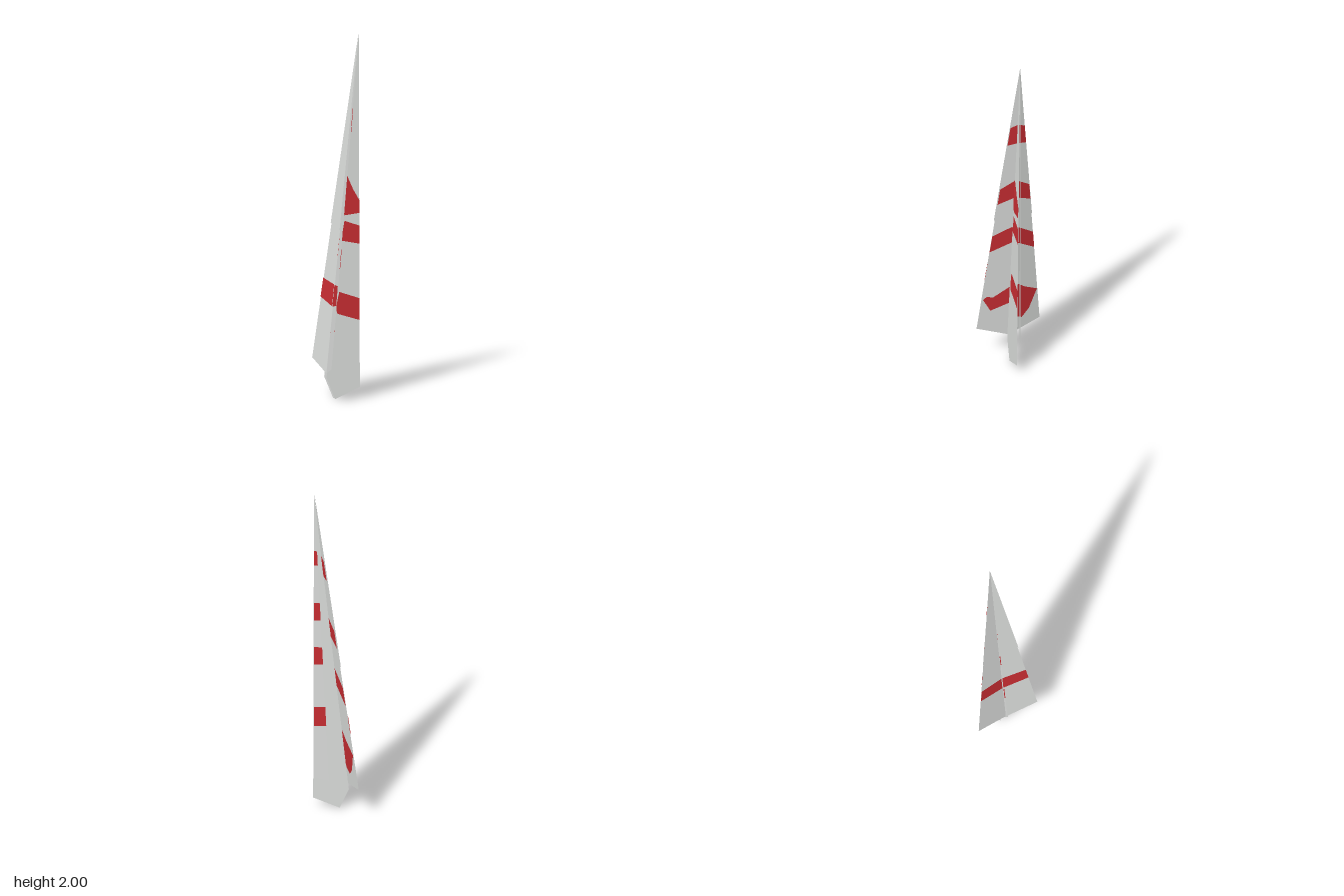
import * as THREE from 'three';

export function createModel() {
  const model = new THREE.Group();
  const paper = new THREE.MeshStandardMaterial({ color: 0xdcdedc, side: THREE.DoubleSide });
  paper.name = 'paper grey';
  const red = new THREE.MeshStandardMaterial({ color: 0xc92d32, side: THREE.DoubleSide });
  red.name = 'stripe red';

  // Flat outline laid onto a folded plane by a mapping rule
  function sheet(name, points, place, material) {
    const shape = new THREE.Shape(points.map(([u, v]) => new THREE.Vector2(u, v)));
    const geometry = new THREE.ShapeGeometry(shape);
    const pos = geometry.attributes.position;
    for (let i = 0; i < pos.count; i++) pos.setXYZ(i, ...place(pos.getX(i), pos.getY(i)));
    geometry.computeVertexNormals();
    const mesh = new THREE.Mesh(geometry, material);
    mesh.name = name;
    model.add(mesh);
  }

  // Wing plane: outlines are given as (distance from centre, height)
  const wingPlane = (side, lift = 0) => (z, y) =>
    [0.104 - 0.0989 * (2 - y) - 0.172 * z + lift, y, side * z];
  // Keel plane: outlines are given as (x, height)
  const keelPlane = (spread, lean, lift = 0) => (x, y) =>
    [x, y, spread * (2 - y) + lean * (0.104 - x) + lift];

  // A stripe from the fold to the leading edge
  const band = (innerTop, innerLow, edgeTop, edgeLow) => [
    [0.003, innerTop], [0.003, innerLow],
    [0.1 * (2 - edgeLow), edgeLow], [0.1 * (2 - edgeTop), edgeTop],
  ];

  const lastStripe = {
    left: [[0.005, 0.48], [0.005, 0.365], [0.02, 0.36], [0.11, 0.32], [0.152, 0.4], [0.13, 0.42], [0.1, 0.41]],
    right: [[0.005, 0.51], [0.005, 0.3], [0.03, 0.26], [0.07, 0.24], [0.112, 0.29], [0.156, 0.41], [0.08, 0.45]],
  };

  for (const [name, side] of [['left', 1], ['right', -1]]) {
    // Wing, with a shorter folded layer over its upper face
    sheet(name + 'Wing', [[0, 2], [0.18, 0.2], [side > 0 ? 0.01 : 0, 0.143]], wingPlane(side), paper);
    sheet(name + 'WingFold', [[0, 2], [0.109, 0.95], [0.002, 0.93]], wingPlane(side, -0.003), paper);

    // Stripes under the wing
    const low = side < 0 ? 0.02 : 0;
    const under = wingPlane(side, 0.0025);
    sheet(name + 'WingStripe', band(1.61, 1.48, 1.59, 1.47), under, red);
    sheet(name + 'WingStripe', band(1.22, 1.1, 1.165, 1.06), under, red);
    sheet(name + 'WingStripe', band(0.9, 0.79, 0.84 - low, 0.73 - low), under, red);
    sheet(name + 'WingStripe', lastStripe[name], under, red);

    // Single stripe across the top of the wing
    sheet(name + 'WingTopStripe', band(0.63, 0.51, 0.645, 0.54), wingPlane(side, -0.0025), red);
  }

  // Keel: two sheets meeting at the long fold
  const keelOutline = [[0.104, 2], [0.104, 0.06], [-0.035, 0], [-0.082, 0.12], [-0.08, 0.14]];
  sheet('leftKeel', keelOutline, keelPlane(0.0103, -0.04), paper);
  sheet('rightKeel', keelOutline, keelPlane(0.0103, -0.277), paper);

  // Stripes on the left face of the keel
  const keelStripes = [
    [[0.104, 1.02], [0.104, 1.09], [0.07, 1.15], [0.035, 1.23], [0.028, 1.22], [0.012, 1.06], [0.02, 1.01]],
    [[0.104, 0.85], [0.104, 0.95], [0.02, 0.98], [0.01, 0.92], [-0.005, 0.87], [0.01, 0.87]],
    [[0.104, 0.43], [0.104, 0.55], [-0.01, 0.59], [-0.03, 0.5], [-0.02, 0.47]],
  ];
  for (const s of keelStripes) sheet('keelStripe', s, keelPlane(0.0103, -0.04, 0.002), red);

  // Inner flap lying against the right face of the keel
  sheet('keelFlap', [[0.104, 2], [0.104, 0.2], [0.025, 0.18]], keelPlane(-0.0003, -0.277), paper);
  const flapEdge = (y) => 0.104 - 0.0434 * (2 - y);
  for (const [top, low] of [[1.64, 1.55], [1.31, 1.2], [1.03, 0.92], [0.65, 0.53]]) {
    sheet('flapStripe', [[0.104, top], [0.104, low], [flapEdge(low), low], [flapEdge(top), top]],
      keelPlane(-0.0003, -0.277, -0.002), red);
  }

  return model;
}
